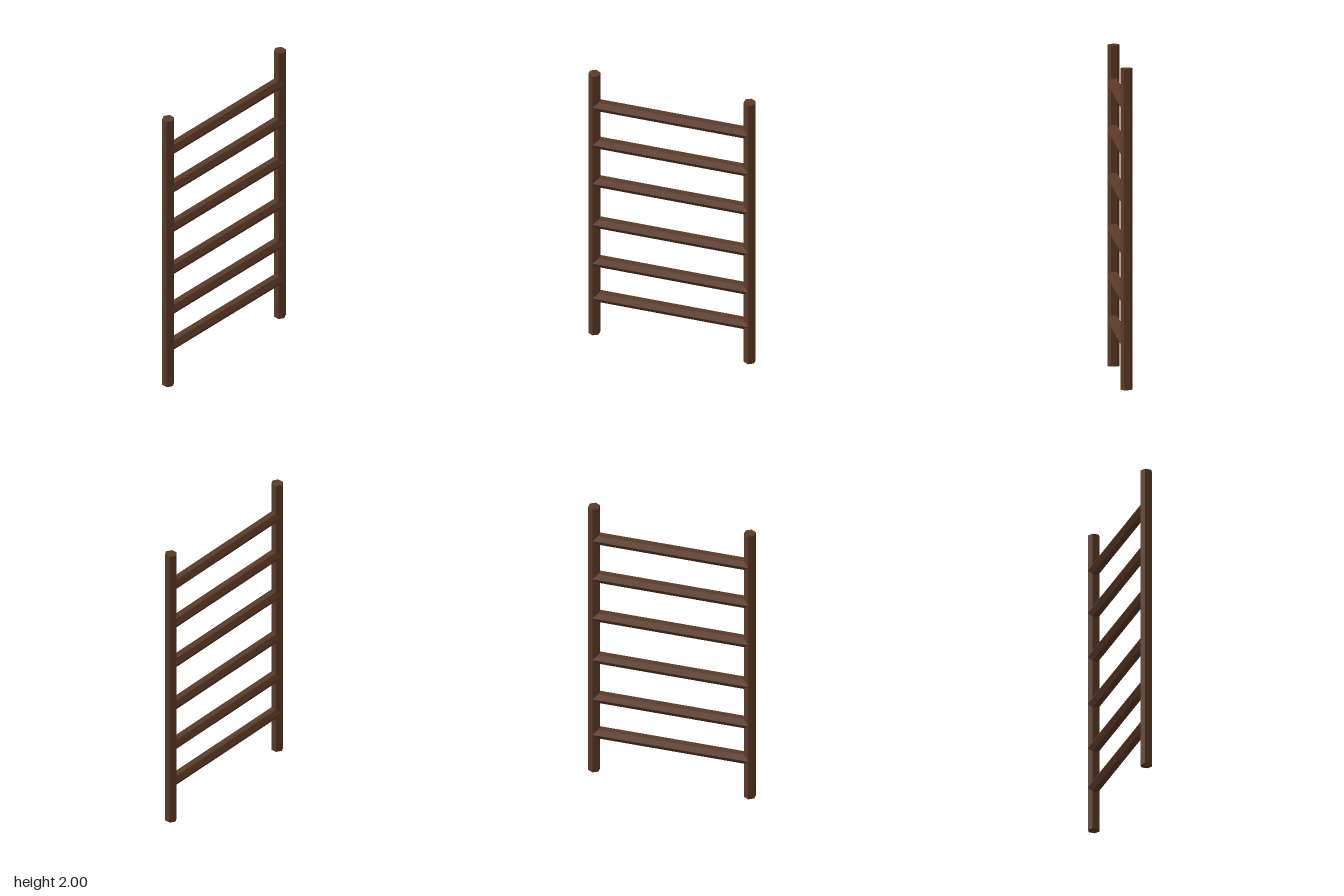
import * as THREE from 'three';

const RADIUS = 0.0385;   // hexagonal bar, corners pointing along x
const HALF_SPAN = 0.5;   // post centre lines in z
const RUNG_HEIGHTS = [0.285, 0.555, 0.854, 1.172, 1.47, 1.76];

export function createModel() {
  const ladder = new THREE.Group();
  ladder.name = 'ladder';
  const wood = new THREE.MeshStandardMaterial({ color: 0x5c3a26, flatShading: true });

  const hexBar = (name, length) => {
    const bar = new THREE.Mesh(
      new THREE.CylinderGeometry(RADIUS, RADIUS, length, 6, 1, false, Math.PI / 2), wood);
    bar.name = name;
    ladder.add(bar);
    return bar;
  };

  // Upright posts
  for (const [name, side] of [['frontPost', 1], ['backPost', -1]]) {
    hexBar(name, 2).position.set(0, 1, side * HALF_SPAN);
  }

  // Rungs run between the post centre lines, at slightly uneven spacing
  RUNG_HEIGHTS.forEach((y, i) => {
    const rung = hexBar(`rung${i + 1}`, HALF_SPAN * 2);
    rung.rotation.x = Math.PI / 2;
    rung.position.y = y;
  });

  return ladder;
}
